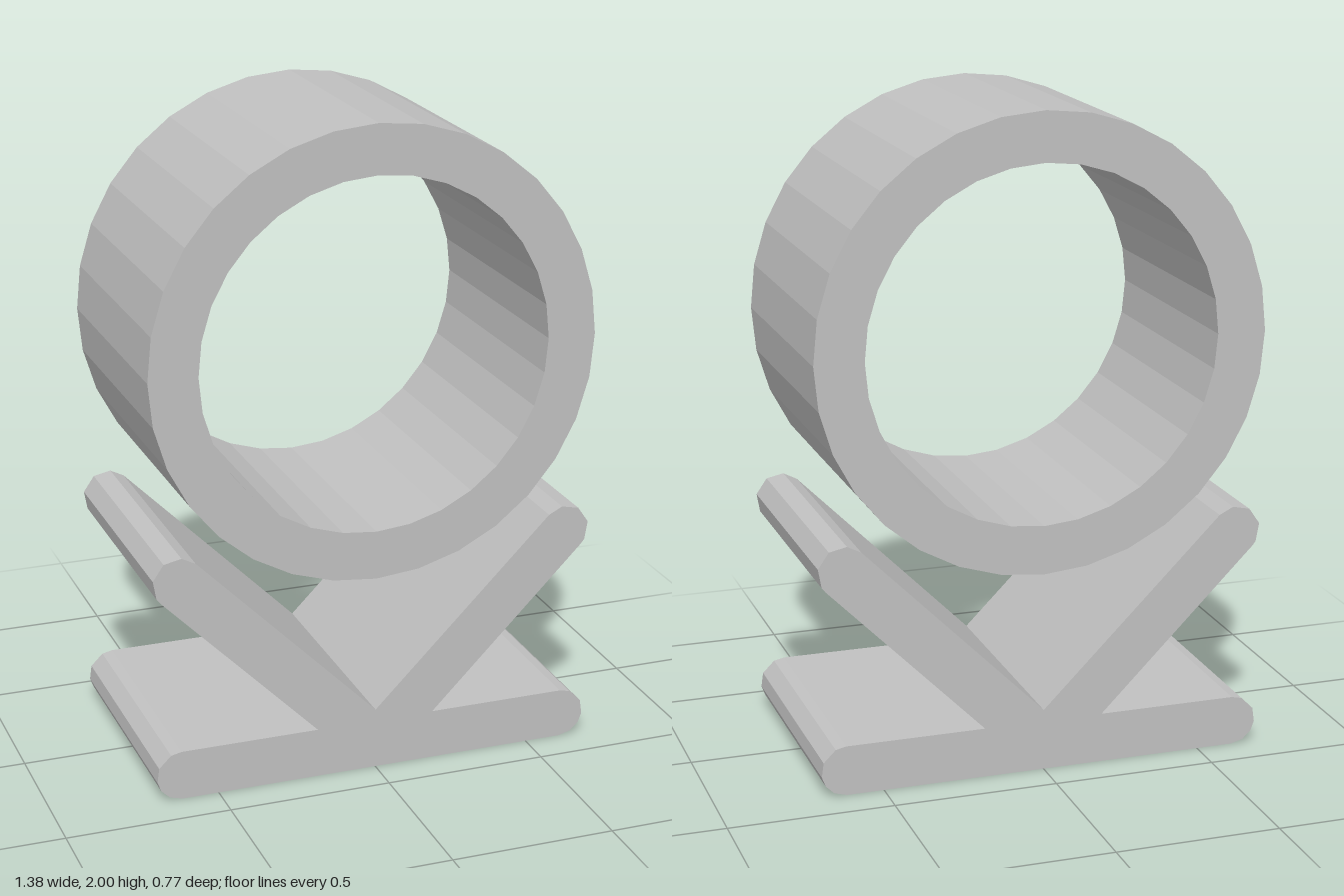
import * as THREE from 'three';

const DEPTH = 0.766;
const polar = (cx, cy, r, deg) => {
  const a = THREE.MathUtils.degToRad(deg);
  return new THREE.Vector2(cx + r * Math.cos(a), cy + r * Math.sin(a));
};
const polygon = (cx, cy, r, n) =>
  Array.from({ length: n }, (_, i) => polar(cx, cy, r, (i * 360) / n));

export function createModel() {
  const group = new THREE.Group();
  const grey = new THREE.MeshStandardMaterial({ color: 0xc0c0c0, flatShading: true });
  grey.name = 'light grey';

  const addExtrusion = (shape, name) => {
    const geometry = new THREE.ExtrudeGeometry(shape, { depth: DEPTH, bevelEnabled: false });
    geometry.translate(0, 0, -DEPTH / 2);
    const mesh = new THREE.Mesh(geometry, grey);
    mesh.name = name;
    group.add(mesh);
  };

  // Faceted ring with a round opening
  const ring = new THREE.Shape(polygon(0, 1.31, 0.69, 32));
  ring.holes.push(new THREE.Path(polygon(0, 1.31, 0.54, 32).reverse()));
  addExtrusion(ring, 'ring');

  // Stand: rounded base bar and two slanted arms, right half outline then mirrored
  const r = 0.077;
  const half = [
    ...[-90, -60, -33, -9, 25, 65, 90].map((a) => polar(0.613, r, r, a)),
    new THREE.Vector2(0.185, 2 * r),
    ...[-45, -32, 12, 57, 99, 135].map((a) => polar(0.613, 0.693, r, a)),
  ];
  const mirrored = half.map((p) => new THREE.Vector2(-p.x, p.y)).reverse();
  const notch = new THREE.Vector2(0, 0.19);
  addExtrusion(new THREE.Shape([...half, notch, ...mirrored]), 'stand');

  return group;
}
